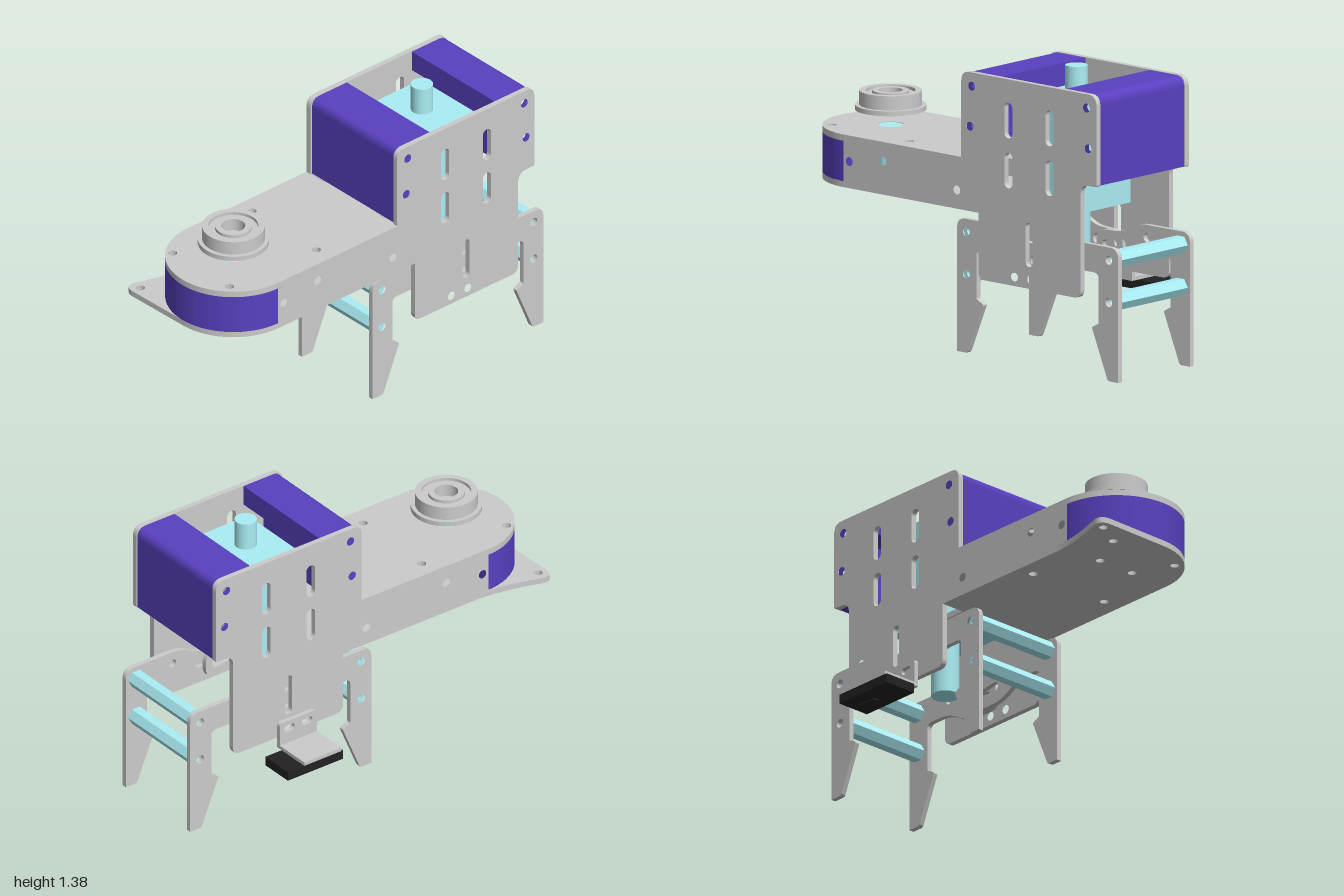
import * as THREE from 'three';

const mat = (color) => new THREE.MeshStandardMaterial({ color });

// closed shape from [x, y, cornerRadius] points
function rounded(pts, Type = THREE.Shape) {
  const s = new Type();
  const n = pts.length;
  pts.forEach(([x, y, r = 0], i) => {
    const p = new THREE.Vector2(x, y);
    const toward = (q) => new THREE.Vector2(q[0], q[1]).sub(p).normalize().multiplyScalar(r).add(p);
    const a = toward(pts[(i + n - 1) % n]);
    const b = toward(pts[(i + 1) % n]);
    if (i === 0) s.moveTo(a.x, a.y); else s.lineTo(a.x, a.y);
    if (r) s.quadraticCurveTo(x, y, b.x, b.y);
  });
  s.closePath();
  return s;
}

function circleHole(shape, x, y, r = 0.021) {
  shape.holes.push(new THREE.Path().absarc(x, y, r, 0, Math.PI * 2, true));
}

// slot between two end centres
function slotHole(shape, x1, y1, x2, y2, r) {
  const a = Math.atan2(y2 - y1, x2 - x1);
  const h = new THREE.Path();
  h.absarc(x2, y2, r, a - Math.PI / 2, a + Math.PI / 2, false);
  h.absarc(x1, y1, r, a + Math.PI / 2, a + Math.PI * 1.5, false);
  h.closePath();
  shape.holes.push(h);
}

const extrude = (shape, depth) =>
  new THREE.ExtrudeGeometry(shape, { depth, bevelEnabled: false, curveSegments: 20 });

// (z, y) shape spread across x0..x1
const across = (shape, x0, x1) => extrude(shape, x1 - x0).rotateY(-Math.PI / 2).translate(x1, 0, 0);
// (x, z) shape standing between y0 and y1
const upright = (shape, y0, y1) => extrude(shape, y1 - y0).rotateX(Math.PI / 2).translate(0, y1, 0);

export function createModel() {
  const root = new THREE.Group();
  root.name = 'gripperHead';
  const body = new THREE.Group();
  body.name = 'body';
  body.position.x = 0.08;
  body.rotation.y = -0.033;
  root.add(body);

  const grey = mat(0xcccccc), purple = mat(0x5a40c0), cyan = mat(0xaaeef5), black = mat(0x222222);
  const add = (name, geometry, material) => {
    const m = new THREE.Mesh(geometry, material);
    m.name = name;
    body.add(m);
    return m;
  };
  const box = (name, x0, x1, y0, y1, z0, z1, material) =>
    add(name, new THREE.BoxGeometry(x1 - x0, y1 - y0, z1 - z0)
      .translate((x0 + x1) / 2, (y0 + y1) / 2, (z0 + z1) / 2), material);

  const W = 0.315;     // half width of the body
  const T = 0.027;     // sheet thickness
  const noseZ = 0.68;  // centre of the rounded nose
  const midZ = -0.475; // centre of the box and gripper

  // side plates with arm, holes and slots
  const side = rounded([
    [-0.05, 1.345, 0.05], [-0.05, 0.908], [0.685, 0.908], [0.685, 0.718], [-0.158, 0.718],
    [-0.158, 0.377, 0.04], [-0.795, 0.377, 0.04], [-0.795, 0.915, 0.05], [-0.895, 0.915, 0.01], [-0.895, 1.345, 0.05],
  ]);
  [[-0.115, 1.28], [-0.833, 1.28], [-0.105, 1.09], [-0.844, 1.09], [-0.383, 0.42], [-0.485, 0.42],
    [-0.233, 0.57], [-0.71, 0.57], [-0.023, 0.778], [0.44, 0.848], [0.65, 0.815]]
    .forEach(([z, y]) => circleHole(side, z, y));
  for (const z of [-0.345, -0.602]) {
    slotHole(side, z, 1.092, z, 1.21, 0.025);
    slotHole(side, z, 0.857, z, 0.973, 0.025);
  }
  slotHole(side, -0.474, 0.5, -0.474, 0.666, 0.021);
  add('leftSidePlate', across(side, W - T, W), grey);
  add('rightSidePlate', across(side, -W, -W + T), grey);

  // top plate of the arm, with a tab reaching into the box
  const screwHoles = [[-0.2, 0.877], [0.19, 0.873]];
  const top = new THREE.Shape();
  top.moveTo(0.19, -0.29);
  top.lineTo(0.19, -0.05);
  top.lineTo(W, -0.05);
  top.absarc(0, noseZ, W, 0, Math.PI, false);
  top.lineTo(-W, -0.05);
  top.lineTo(-0.19, -0.05);
  top.lineTo(-0.19, -0.29);
  top.closePath();
  [...screwHoles, [-0.228, 0.363], [0.218, 0.363]].forEach(([x, z]) => circleHole(top, x, z));
  circleHole(top, 0, noseZ, 0.06);
  add('armTopPlate', upright(top, 0.908, 0.938), grey);

  // bottom plate of the arm, with an ear at one front corner
  const bottom = new THREE.Shape();
  bottom.moveTo(0.19, -0.29);
  bottom.lineTo(0.19, -0.158);
  bottom.lineTo(W, -0.158);
  bottom.absarc(0, noseZ, W, 0, Math.PI / 2, false);
  bottom.lineTo(-0.34, 1.003);
  bottom.quadraticCurveTo(-0.4, 1.0, -0.383, 0.94);
  bottom.quadraticCurveTo(-0.32, 0.76, -W, 0.62);
  bottom.lineTo(-W, -0.158);
  bottom.lineTo(-0.19, -0.158);
  bottom.lineTo(-0.19, -0.29);
  bottom.closePath();
  [...screwHoles, [-0.334, 0.956], [-0.228, 0.363], [0.218, 0.363], [-0.1, 0.68], [0.1, 0.68]]
    .forEach(([x, z]) => circleHole(bottom, x, z));
  add('armBottomPlate', upright(bottom, 0.69, 0.718), grey);

  // curved spacer in the nose
  const nose = new THREE.Shape();
  nose.absarc(0, noseZ, W, 0.016, Math.PI - 0.016, false);
  nose.absarc(0, noseZ, 0.225, Math.PI - 0.016, 0.016, true);
  nose.closePath();
  screwHoles.forEach(([x, z]) => circleHole(nose, x, z));
  add('noseSpacer', upright(nose, 0.718, 0.908), purple);

  // pivot shaft and bearing above the nose
  add('pivotShaft', new THREE.CylinderGeometry(0.06, 0.06, 0.215, 32).translate(0, 0.828, noseZ), cyan);
  const profile = [[0, 1.01], [0.165, 1.01], [0.165, 1.033], [0.145, 1.033], [0.145, 1.1], [0.115, 1.1], [0.115, 1.085],
    [0.085, 1.085], [0.085, 1.1], [0.055, 1.1], [0.055, 1.04], [0, 1.04]];
  // each straight run is turned separately so its edges stay sharp
  const bearing = new THREE.Group();
  bearing.name = 'bearing';
  for (let i = 0; i < profile.length - 1; i++) {
    const run = [profile[i], profile[i + 1]].map(([r, y]) => new THREE.Vector2(r, y));
    const m = new THREE.Mesh(new THREE.LatheGeometry(run, 48), grey);
    m.name = 'bearingRing';
    bearing.add(m);
  }
  bearing.position.z = noseZ;
  body.add(bearing);

  // purple angle blocks closing the box at front and back
  for (const [name, s, y0] of [['frontBlock', 1, 0.938], ['backBlock', -1, 0.918]]) {
    const z = (d) => midZ + s * d;
    const block = rounded([
      [z(0.415), y0], [z(0.415), 1.343, 0.05], [z(0.2), 1.343], [z(0.2), 1.243], [z(0.315), 1.243], [z(0.315), y0],
    ]);
    circleHole(block, z(0.359), 1.28);
    circleHole(block, z(0.369), 1.09);
    add(name, across(block, -W + T, W - T), purple);
  }

  // linear drive
  box('driveHousing', -0.19, 0.19, 0.73, 1.25, -0.645, -0.325, cyan);
  add('drivePlunger', new THREE.CylinderGeometry(0.052, 0.052, 0.145, 32).translate(0, 1.3125, -0.482), cyan);
  add('driveCylinder', new THREE.CylinderGeometry(0.065, 0.065, 0.31, 32).translate(0, 0.585, -0.482), cyan);

  // scissor claws: two plates each, joined by hollow hexagonal rods
  for (const [name, s] of [['frontClaw', 1], ['backClaw', -1]]) {
    const z = (d) => midZ + s * d;
    const claw = rounded([
      [z(0.515), 0], [z(0.45), 0, 0.012], [z(0.35), 0.24, 0.008], [z(0.393), 0.262, 0.005], [z(0.393), 0.5, 0.03],
      [z(0.25), 0.5, 0.06], [z(0.13), 0.43, 0.06], [z(-0.07), 0.43, 0.06], [z(-0.07), 0.57, 0.06],
      [z(0.09), 0.575, 0.04], [z(0.2), 0.63, 0.05], [z(0.515), 0.63, 0.05],
    ]);
    slotHole(claw, z(-0.01), 0.5, z(0.09), 0.515, 0.024);
    circleHole(claw, z(0.245), 0.57);
    for (const y of [0.37, 0.57]) circleHole(claw, z(0.457), y);
    const cx = -0.0125 * s;
    for (const e of [-1, 1]) {
      const x = cx + e * 0.245;
      add(name + (e > 0 ? 'LeftPlate' : 'RightPlate'), across(claw, x - 0.0125, x + 0.0125), grey);
    }
    for (const y of [0.37, 0.57]) {
      const hex = rounded(Array.from({ length: 6 }, (_, i) =>
        [z(0.457) + 0.044 * Math.cos(i * Math.PI / 3), y + 0.044 * Math.sin(i * Math.PI / 3)]));
      circleHole(hex, z(0.457), y, 0.019);
      add(name + 'Rod', across(hex, cx - 0.2325, cx + 0.2325), cyan);
    }
  }

  // angle bracket with sensor pad on the right side
  const flange = rounded([[-0.325, 0.325], [-0.325, 0.46, 0.02], [-0.54, 0.46, 0.02], [-0.54, 0.325]]);
  for (const hz of [-0.383, -0.485]) slotHole(flange, hz - 0.012, 0.42, hz + 0.012, 0.42, 0.018);
  add('bracketFlange', across(flange, -W - 0.022, -W), grey);
  box('bracketShelf', -0.522, -W - 0.022, 0.325, 0.343, -0.54, -0.325, grey);
  box('sensorPad', -0.522, -0.35, 0.28, 0.325, -0.635, -0.315, black);
  box('sensorNub', -0.45, -0.42, 0.272, 0.28, -0.57, -0.48, black);

  return root;
}
